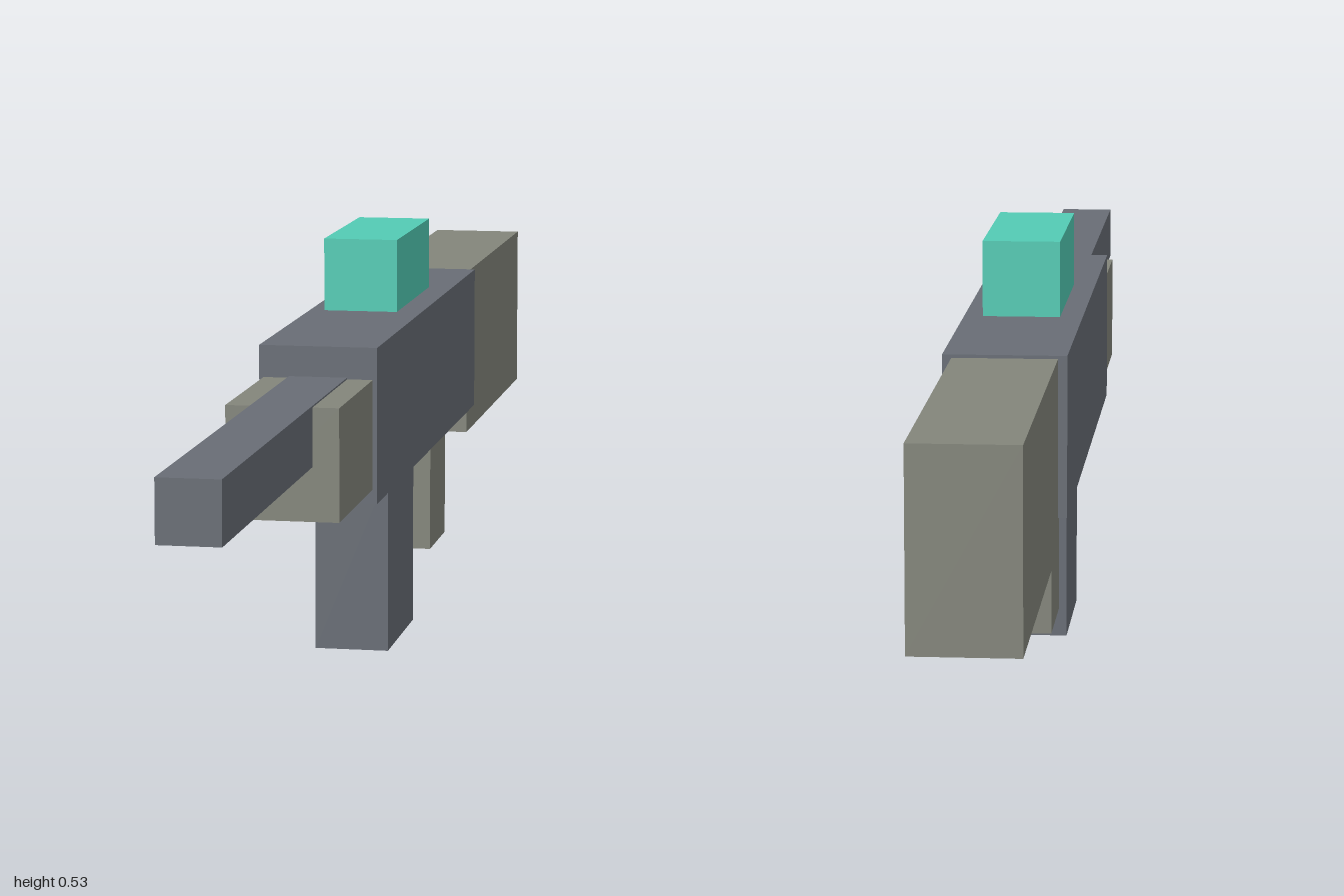
import * as THREE from 'three';

export function createModel() {
  const group = new THREE.Group();
  const material = (name, color) => {
    const m = new THREE.MeshStandardMaterial({ color });
    m.name = name;
    return m;
  };
  const slate = material('slate', 0x686d75);
  const olive = material('olive grey', 0x83857b);
  const teal = material('teal', 0x53cbb4);

  // Block centred on x, given its width and its y and z ranges
  const block = (name, mat, width, y0, y1, z0, z1) => {
    const mesh = new THREE.Mesh(new THREE.BoxGeometry(width, y1 - y0, z1 - z0), mat);
    mesh.name = name;
    mesh.position.set(0, (y0 + y1) / 2, (z0 + z1) / 2);
    group.add(mesh);
  };

  block('body', slate, 0.148, 0.237, 0.432, -0.494, 0.288);
  block('rearStock', olive, 0.126, 0.197, 0.428, -1, -0.494);
  block('foreGuard', olive, 0.137, 0.255, 0.392, 0.288, 0.508);
  // The barrel top stands just proud of the fore guard
  block('barrel', slate, 0.073, 0.321, 0.394, 0.288, 1);
  block('sight', teal, 0.096, 0.437, 0.531, -0.252, 0);
  block('frontLeg', slate, 0.096, 0, 0.237, -0.13, 0.063);
  block('grip', olive, 0.096, 0.07, 0.237, -0.395, -0.269);

  return group;
}
